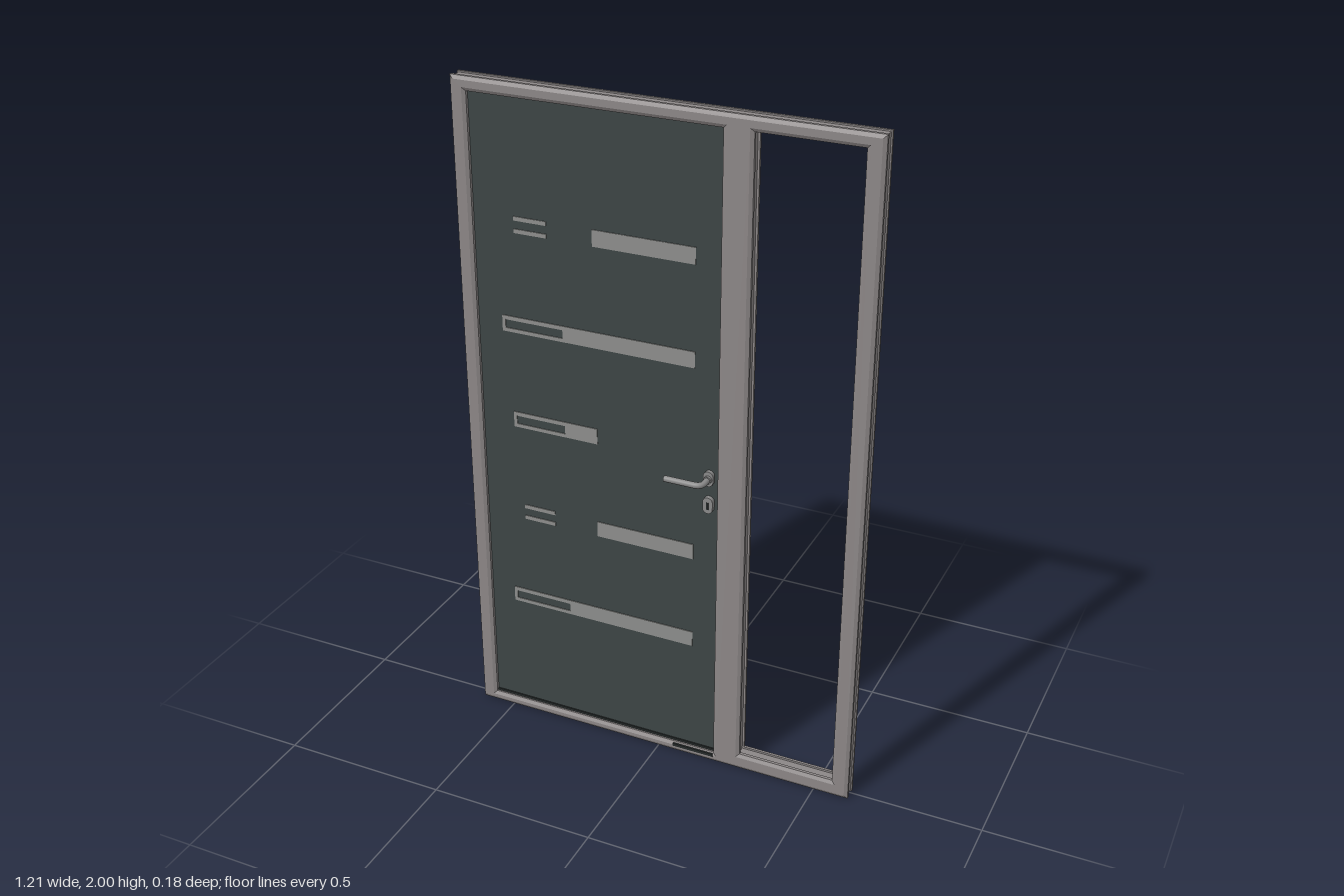
import * as THREE from 'three';

const mat = (name, color, extra = {}) => {
  const m = new THREE.MeshStandardMaterial({ color, ...extra });
  m.name = name;
  return m;
};

export function createModel() {
  const frameGrey = mat('frame grey', 0x8c8787);
  const anthracite = mat('anthracite panel', 0x3d4545);
  const inlayGrey = mat('inlay grey', 0x8d8e8c);
  const steel = mat('brushed steel', 0x8a8a8a);
  const dark = mat('dark seal', 0x262b2b);

  const model = new THREE.Group();
  model.name = 'entranceDoor';

  const add = (name, geometry, material, parent = model) => {
    const mesh = new THREE.Mesh(geometry, material);
    mesh.name = name;
    parent.add(mesh);
    return mesh;
  };
  // Box given by its limits on each axis
  const box = (name, x0, x1, y0, y1, z0, z1, material, parent) => {
    const mesh = add(name, new THREE.BoxGeometry(x1 - x0, y1 - y0, z1 - z0), material, parent);
    mesh.position.set((x0 + x1) / 2, (y0 + y1) / 2, (z0 + z1) / 2);
    return mesh;
  };
  const rect = (T, x0, x1, y0, y1) => new T([[x0, y0], [x1, y0], [x1, y1], [x0, y1]]
    .map(([x, y]) => new THREE.Vector2(x, y)));
  const plate = (name, outer, holes, z0, z1, material, bevel = 0, parent) => {
    const shape = rect(THREE.Shape, ...outer);
    for (const h of holes) shape.holes.push(rect(THREE.Path, ...h));
    const thick = bevel * 0.6;
    const geometry = new THREE.ExtrudeGeometry(shape, {
      depth: z1 - z0 - 2 * thick, bevelEnabled: bevel > 0, bevelSize: bevel,
      bevelThickness: thick, bevelOffset: -bevel, bevelSegments: 1,
    });
    geometry.translate(0, 0, z0 + thick);
    return add(name, geometry, material, parent);
  };

  // Frame: chamfered front layer, grooved core and flat back layer
  const doorHole = [-0.56, 0.18, 0.03, 1.96];
  const sideHole = [0.264, 0.556, 0.05, 1.96];
  const wideSide = [0.258, 0.562, 0.044, 1.966];
  plate('frameFront', [-0.606, 0.606, 0, 2], [doorHole, sideHole], 0.014, 0.035, frameGrey, 0.01);
  plate('frameCore', [-0.602, 0.602, 0.004, 1.996], [doorHole, wideSide], -0.008, 0.014, frameGrey);
  plate('frameBack', [-0.606, 0.606, 0, 2], [doorHole, sideHole], -0.016, -0.008, frameGrey);

  // Door leaf: slab inside the frame with an overlapping back flange
  const leaf = new THREE.Group();
  leaf.name = 'doorLeaf';
  model.add(leaf);
  box('leafSlab', -0.56, 0.18, 0.034, 1.96, -0.016, 0.02, anthracite, leaf);
  box('leafFlange', -0.596, 0.205, 0.01, 1.985, -0.025, -0.016, anthracite, leaf);
  box('bottomSeal', -0.56, 0.18, 0.03, 0.037, 0.0, 0.024, dark, leaf);
  box('sillDrain', 0.05, 0.18, 0.017, 0.026, 0.03, 0.037, dark);

  // Front inlays: long bars with a slot, or a bar beside two thin strips
  const zf = [0.0195, 0.0225];
  const rows = [
    { y: 1.603, bar: [-0.198, 0.105], strips: true },
    { y: 1.305, bar: [-0.484, 0.105] },
    { y: 1.008, bar: [-0.46, -0.193] },
    { y: 0.706, bar: [-0.198, 0.105], strips: true },
    { y: 0.41, bar: [-0.484, 0.105] },
  ];
  for (const { y, bar, strips } of rows) {
    const slot = [bar[0] + 0.01, -0.295, y - 0.013, y + 0.012];
    plate('inlayBar', [...bar, y - 0.024, y + 0.024], strips ? [] : [slot], ...zf, inlayGrey, 0, leaf);
    if (strips) {
      for (const s of [-0.018, 0.018]) {
        box('inlayStrip', -0.436, -0.336, y + s - 0.006, y + s + 0.006, ...zf, inlayGrey, leaf);
      }
    }
    // Fine joint lines on the back
    box('backJoint', bar[0] < -0.4 ? bar[0] : -0.436, bar[1], y + 0.022, y + 0.025, -0.0256, -0.0245, dark, leaf);
    box('backJointShort', -0.45, -0.295, y - 0.025, y - 0.022, -0.0256, -0.0245, dark, leaf);
  }

  // Handles: rose, neck, bent lever and keyhole cover on both faces
  const oval = (w, h, depth) => {
    const r = w / 2, s = new THREE.Shape();
    s.absarc(0, h / 2 - r, r, 0, Math.PI, false);
    s.absarc(0, -h / 2 + r, r, Math.PI, 2 * Math.PI, false);
    return new THREE.ExtrudeGeometry(s, { depth, bevelEnabled: false, curveSegments: 12 });
  };
  const V = (x, y, z) => new THREE.Vector3(x, y, z);
  for (const [side, face, reach] of [[1, 0.02, 0.076], [-1, -0.025, 0.083]]) {
    const handle = new THREE.Group();
    handle.name = side > 0 ? 'frontHandle' : 'backHandle';
    model.add(handle);
    const start = side > 0 ? face : face - 0.012;
    const hx = 0.152, hy = 0.956, bend = 0.024;

    const rose = add('rose', oval(0.03, 0.046, 0.012), steel, handle);
    rose.position.set(hx, 0.957, side > 0 ? face : face - 0.012);
    const cover = add('keyholeCover', oval(0.03, 0.05, 0.014), steel, handle);
    cover.position.set(hx, 0.874, side > 0 ? face : face - 0.014);
    box('keyhole', hx - 0.003, hx + 0.003, 0.862, 0.884,
      side > 0 ? face + 0.013 : face - 0.015, side > 0 ? face + 0.015 : face - 0.013, dark, handle);
    const neck = add('neck', new THREE.CylinderGeometry(0.012, 0.012, 0.02, 20), steel, handle);
    neck.rotation.x = Math.PI / 2;
    neck.position.set(hx, hy, face + side * 0.01);

    const path = new THREE.CurvePath();
    path.add(new THREE.LineCurve3(V(hx, hy, start), V(hx, hy, side * (reach - bend))));
    path.add(new THREE.QuadraticBezierCurve3(
      V(hx, hy, side * (reach - bend)), V(hx, hy, side * reach), V(hx - bend, hy, side * reach)));
    path.add(new THREE.LineCurve3(V(hx - bend, hy, side * reach), V(0.04, hy, side * reach)));
    add('lever', new THREE.TubeGeometry(path, 40, 0.009, 14), steel, handle);
    const cap = add('leverEnd', new THREE.CircleGeometry(0.009, 14), steel, handle);
    cap.rotation.y = -Math.PI / 2;
    cap.position.set(0.04, hy, side * reach);
  }

  // Hinges along the leaf's outer back edge
  for (const y of [1.88, 1.77, 1.01, 0.13]) {
    const hinge = add('hinge', new THREE.CylinderGeometry(0.006, 0.006, 0.085, 14), steel);
    hinge.position.set(-0.598, y, -0.023);
    box('hingePlate', -0.599, -0.594, y - 0.035, y + 0.035, -0.024, -0.014, dark);
  }
  return model;
}
